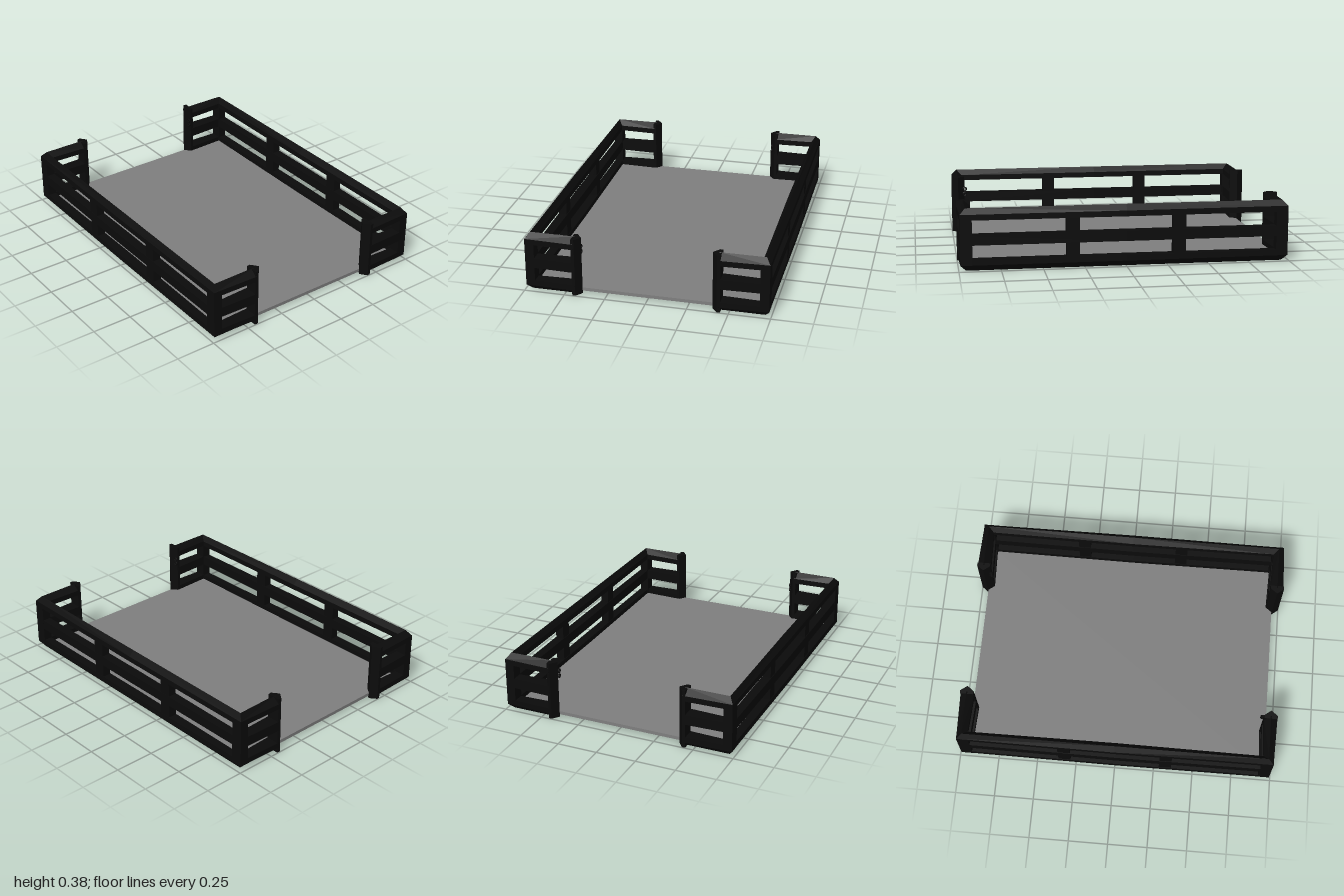
import * as THREE from 'three';

// Joins rings of points into a closed, flat-shaded solid with outward faces
function loft(rings) {
  const tris = [], n = rings[0].length;
  for (let r = 0; r < rings.length - 1; r++) {
    for (let i = 0; i < n; i++) {
      const j = (i + 1) % n, a = rings[r], b = rings[r + 1];
      tris.push([a[i], a[j], b[j]], [a[i], b[j], b[i]]);
    }
  }
  const first = rings[0], last = rings[rings.length - 1];
  for (let i = 1; i < n - 1; i++) {
    tris.push([first[0], first[i + 1], first[i]], [last[0], last[i], last[i + 1]]);
  }
  // signed volume tells whether the faces point inward
  let volume = 0;
  for (const [a, b, c] of tris) {
    volume += new THREE.Vector3(...a).dot(new THREE.Vector3(...b).cross(new THREE.Vector3(...c)));
  }
  if (volume < 0) tris.forEach(t => t.reverse());
  const geo = new THREE.BufferGeometry();
  geo.setAttribute('position', new THREE.Float32BufferAttribute(tris.flat(2), 3));
  geo.computeVertexNormals();
  return geo;
}

// Rail sections: [offset across the wall in half thicknesses, height]
const SECTIONS = {
  topRail: [[-1, 0.31], [1, 0.31], [1, 0.345], [0, 0.38], [-1, 0.345]],
  middleRail: [[-1, 0.16], [1, 0.16], [1, 0.223], [-1, 0.223]],
  bottomRail: [[-1, 0.075], [1, 0.075], [1, 0.04], [0, 0.005], [-1, 0.04]],
};
const CX = 0.712, CZ = 0.957;       // wall centre lines
const SIDE = 0.026, END = 0.033;    // half thicknesses at the corners

export function createModel() {
  const model = new THREE.Group();
  model.name = 'fencedPlatform';
  const black = new THREE.MeshStandardMaterial({ color: 0x0b0b0b });
  black.name = 'blackFrame';
  const grey = new THREE.MeshStandardMaterial({ color: 0x808080 });
  grey.name = 'greyFloor';

  const add = (parent, name, geo, mat, x = 0, y = 0, z = 0) => {
    const mesh = new THREE.Mesh(geo, mat);
    mesh.name = name;
    mesh.position.set(x, y, z);
    parent.add(mesh);
    return mesh;
  };

  add(model, 'floor', new THREE.BoxGeometry(1.41, 0.021, 1.908), grey, 0, 0.034, 0);

  for (const sx of [-1, 1]) {
    // Long side wall: mitred rails, slightly thicker in the middle
    const side = new THREE.Group();
    side.name = sx > 0 ? 'leftWall' : 'rightWall';
    model.add(side);
    for (const [name, section] of Object.entries(SECTIONS)) {
      const rings = [[-1, SIDE], [0, 0.031], [1, SIDE]].map(([e, h]) =>
        section.map(([d, y]) => [sx * (CX + d * h), y, e * (CZ + d * END)]));
      add(side, name, loft(rings), black);
    }
    for (const z of [-0.322, 0.322]) {
      add(side, 'sidePost', new THREE.BoxGeometry(0.052, 0.3, 0.078), black, sx * CX, 0.19, z);
    }

    for (const sz of [-1, 1]) {
      // Short end wall: rails thicken towards the opening
      const end = new THREE.Group();
      end.name = (sz > 0 ? 'front' : 'back') + (sx > 0 ? 'Left' : 'Right') + 'Wall';
      model.add(end);
      for (const [name, section] of Object.entries(SECTIONS)) {
        const rings = [[CX, END, SIDE], [0.435, 0.043, 0]].map(([x, h, mitre]) =>
          section.map(([d, y]) => [sx * (x + d * mitre), y, sz * (CZ + d * h)]));
        add(end, name, loft(rings), black);
      }
      add(end, 'cornerPost', new THREE.BoxGeometry(0.056, 0.305, 0.072), black,
        sx * 0.711, 0.1925, sz * 0.955);

      // Post beside the opening, with a pointed edge
      const plan = [[0.45, -0.041], [0.45, 0.041], [0.43, 0.043], [0.397, 0], [0.43, -0.043]];
      const ring = y => plan.map(([x, z]) => [sx * x, y, sz * (CZ + z)]);
      add(end, 'openingPost', loft([ring(0.008), ring(0.377)]), black);

      // Small pair of latch rings inside two diagonally opposite posts
      if (sx !== sz) {
        for (const y of [0.263, 0.296]) {
          add(end, 'latchRing', new THREE.TorusGeometry(0.011, 0.005, 6, 12), black,
            sx * 0.413, y, sz * 0.913).rotation.y = Math.PI / 2;
        }
      }
    }
  }
  return model;
}
